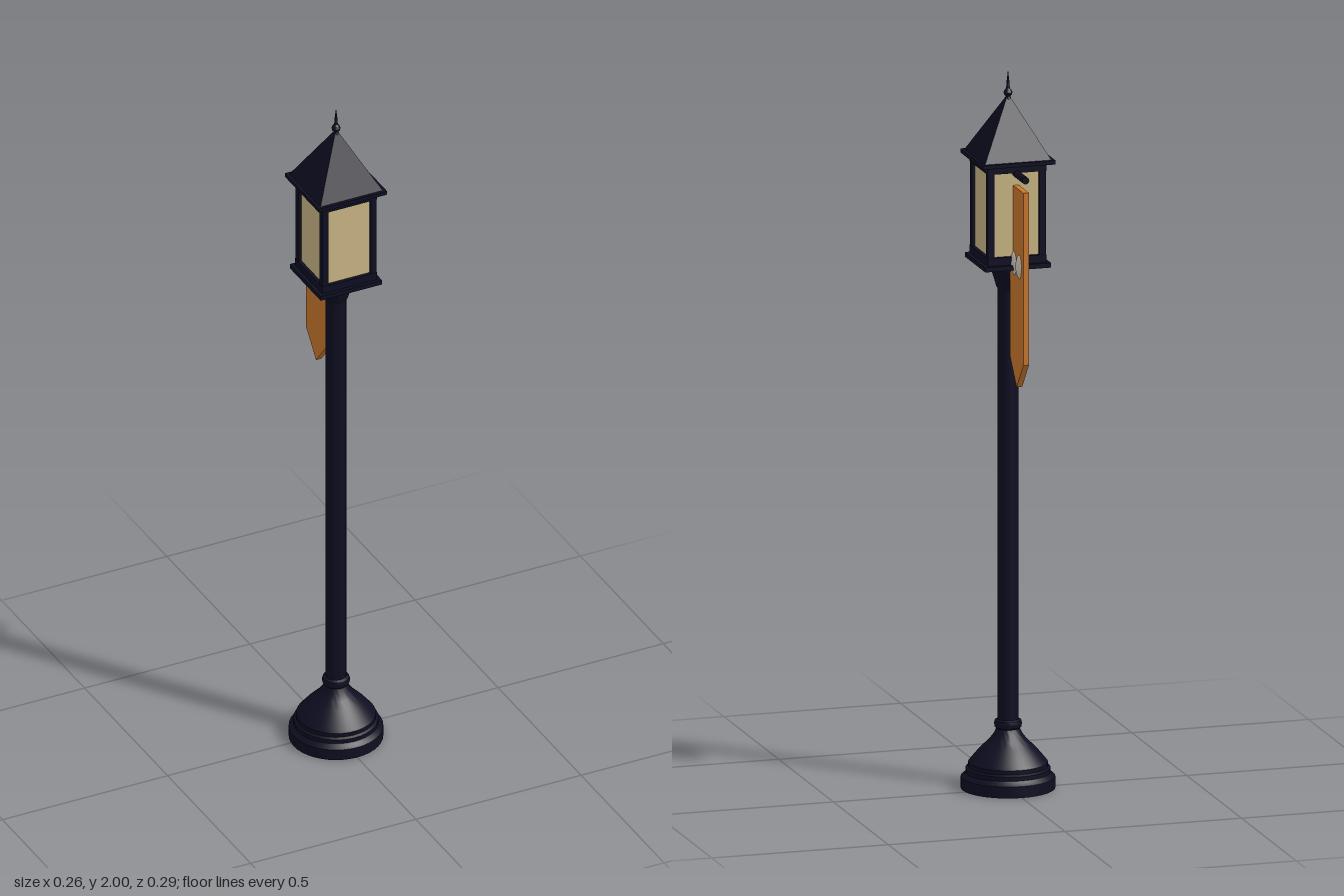
import * as THREE from 'three';
import { toCreasedNormals } from 'three/addons/utils/BufferGeometryUtils.js';

const AXIS_Z = 0.019; // the post stands slightly forward of the origin

export function createModel() {
  const model = new THREE.Group();
  model.name = 'lampPost';
  const lamp = new THREE.Group();
  lamp.name = 'lamp';
  lamp.position.z = AXIS_Z;
  model.add(lamp);

  const makeMaterial = (name, color) => {
    const m = new THREE.MeshStandardMaterial({ color });
    m.name = name;
    return m;
  };
  const iron = makeMaterial('dark navy iron', 0x0e0e22);
  const glass = makeMaterial('warm glass', 0xcab684);
  const orange = makeMaterial('orange banner', 0xca772e);
  const white = makeMaterial('off white', 0xd2cabb);

  const add = (parent, name, geometry, material, x = 0, y = 0, z = 0) => {
    const mesh = new THREE.Mesh(geometry, material);
    mesh.name = name;
    mesh.position.set(x, y, z);
    parent.add(mesh);
    return mesh;
  };
  const turned = (points) => toCreasedNormals(
    new THREE.LatheGeometry(points.map(([r, y]) => new THREE.Vector2(r, y)), 40), 0.5);
  // square slab or frustum given by its half widths and its lower and upper heights
  const square = (name, lower, upper, y0, y1) => {
    const g = new THREE.CylinderGeometry(upper * Math.SQRT2, lower * Math.SQRT2, y1 - y0, 4)
      .rotateY(Math.PI / 4);
    return add(lamp, name, toCreasedNormals(g, 0.3), iron, 0, (y0 + y1) / 2);
  };

  // stepped, bell-shaped foot
  add(lamp, 'base', turned([
    [0, 0], [0.128, 0], [0.128, 0.032], [0.12, 0.038], [0.115, 0.044], [0.115, 0.056],
    [0.108, 0.06], [0.108, 0.072], [0.1, 0.082], [0.085, 0.1], [0.068, 0.118],
    [0.05, 0.136], [0.038, 0.152], [0.032, 0.166],
    [0.036, 0.17], [0.038, 0.179], [0.036, 0.188], [0.028, 0.192],
  ]), iron);

  // post and the swelling neck under the lantern
  add(lamp, 'post', new THREE.CylinderGeometry(0.028, 0.028, 1.25, 24), iron, 0, 0.8);
  add(lamp, 'neck', turned([
    [0.028, 1.39], [0.033, 1.4], [0.037, 1.415], [0.044, 1.437],
    [0.048, 1.45], [0.048, 1.468], [0, 1.468],
  ]), iron);

  // lantern floor, glass, corner bars and top frame
  square('lanternFloor', 0.093, 0.093, 1.463, 1.476);
  square('lowerFrame', 0.083, 0.083, 1.476, 1.498);
  add(lamp, 'glassPanes', new THREE.BoxGeometry(0.146, 0.24, 0.146), glass, 0, 1.615);
  for (const sx of [-1, 1]) for (const sz of [-1, 1]) {
    add(lamp, 'cornerBar', new THREE.BoxGeometry(0.018, 0.27, 0.018), iron,
      sx * 0.073, 1.615, sz * 0.073);
  }
  square('upperFrame', 0.083, 0.083, 1.731, 1.753);

  // eave, roof and finial
  square('eave', 0.103, 0.103, 1.752, 1.763);
  square('roof', 0.094, 0.006, 1.763, 1.922);
  add(lamp, 'finial', turned([
    [0.01, 1.91], [0.008, 1.922], [0.006, 1.926], [0.011, 1.931], [0.012, 1.937],
    [0.009, 1.944], [0.005, 1.948], [0.004, 1.965], [0, 2],
  ]), iron);

  // bracket reaching out behind the lantern
  add(model, 'bracket', new THREE.CylinderGeometry(0.01, 0.01, 0.09, 16).rotateX(Math.PI / 2),
    iron, 0, 1.728, -0.098);

  // pointed banner: drawn in the z-y plane and extruded across x
  const outline = new THREE.Shape([
    [-0.062, 1.695], [-0.062, 1.215], [0, 1.14], [0.062, 1.215], [0.062, 1.695],
  ].map(([u, v]) => new THREE.Vector2(u, v)));
  const bannerGeometry = new THREE.ExtrudeGeometry(outline, { depth: 0.016, bevelEnabled: false })
    .translate(0, 0, -0.008).rotateY(Math.PI / 2);
  add(model, 'banner', bannerGeometry, orange, 0, 0, -0.085);

  // pair of oval bosses bulging from both faces of the banner
  for (const s of [-1, 1]) {
    add(model, 'ovalBoss', new THREE.SphereGeometry(1, 24, 16).scale(0.017, 0.038, 0.024),
      white, 0, 1.48, -0.085 + s * 0.023);
  }
  return model;
}
